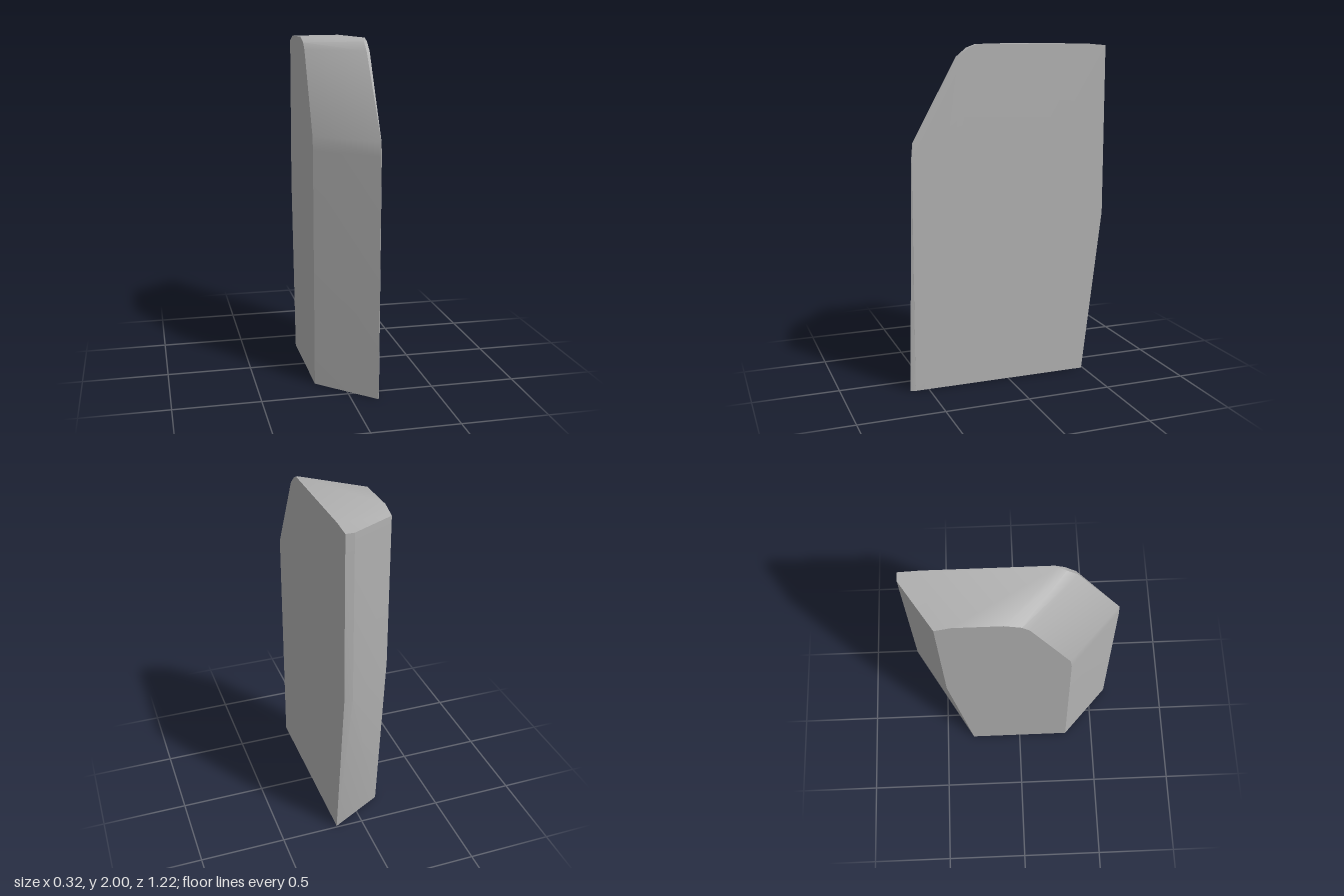
import * as THREE from 'three';
import { toCreasedNormals } from 'three/addons/utils/BufferGeometryUtils.js';

// Cross-sections [x, y, z], from the front foot up over the top to the back foot
const inner = [
  [0.32, 0], [0.29, 1.38], [0.28, 1.46], [0.05, 1.93], [0.01, 1.97],
  [-0.08, 2], [-0.34, 2], [-0.43, 1.97], [-0.43, 1.08], [-0.32, 0],
].map(([z, y]) => [-0.16, y, z]);

// Widest ring, just inside the outer face
const rim = [
  [0.15, 0, 0.61], [0.158, 1.38, 0.58], [0.158, 1.46, 0.573], [0.14, 1.93, 0.31], [0.14, 1.98, 0.25],
  [0.15, 2, 0.2], [0.15, 2, -0.49], [0.11, 1.99, -0.61], [0.11, 0.99, -0.61], [0.158, 0, -0.49],
];

const outer = [
  [0.58, 0], [0.578, 1.38], [0.57, 1.46], [0.3, 1.93], [0.24, 1.98],
  [0.19, 2], [-0.49, 2], [-0.61, 1.99], [-0.61, 0.99], [-0.49, 0],
].map(([z, y]) => [0.16, y, z]);

// Join rings in a closed loop and cap both ends
function loft(rings) {
  const positions = [];
  const tri = (...corners) => corners.forEach((p) => positions.push(...p));
  const n = rings[0].length;
  for (let r = 0; r < rings.length - 1; r++) {
    for (let i = 0; i < n; i++) {
      const j = (i + 1) % n;
      const [a, b] = [rings[r][i], rings[r][j]];
      const [c, d] = [rings[r + 1][i], rings[r + 1][j]];
      tri(a, c, b);
      tri(b, c, d);
    }
  }
  const first = rings[0];
  const last = rings[rings.length - 1];
  for (let i = 1; i < n - 1; i++) {
    tri(first[0], first[i], first[i + 1]);
    tri(last[0], last[i + 1], last[i]);
  }
  const geometry = new THREE.BufferGeometry();
  geometry.setAttribute('position', new THREE.Float32BufferAttribute(positions, 3));
  return toCreasedNormals(geometry, 0.5);
}

export function createModel() {
  const group = new THREE.Group();
  group.name = 'taperedSlab';
  const grey = new THREE.MeshStandardMaterial({ color: 0xb0b0b0 });
  grey.name = 'grey';
  // Slab with a sloped shoulder, narrowing towards its inner face
  const slab = new THREE.Mesh(loft([inner, rim, outer]), grey);
  slab.name = 'slab';
  group.add(slab);
  return group;
}
